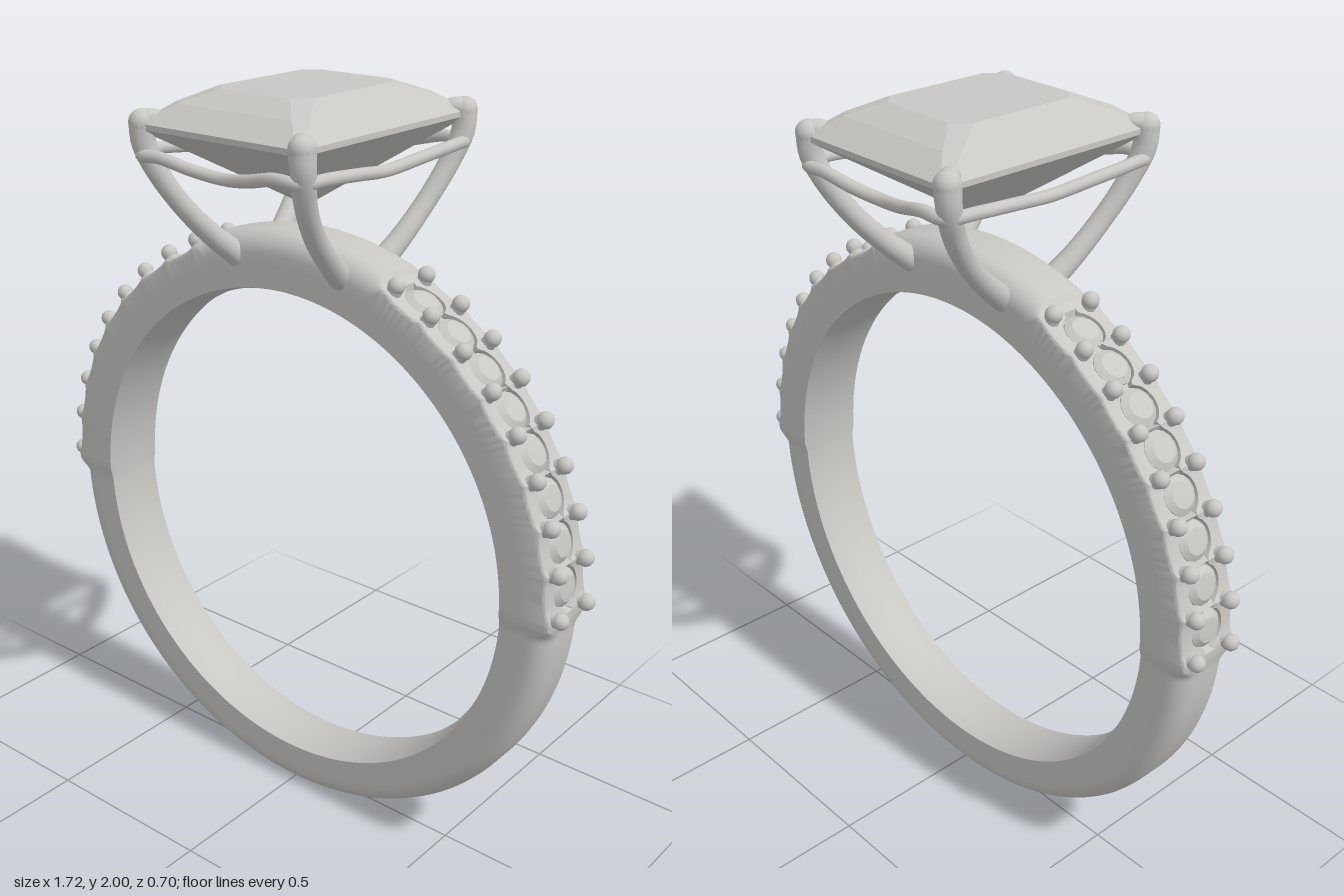
import * as THREE from 'three';
import { toCreasedNormals } from 'three/addons/utils/BufferGeometryUtils.js';

const CY = 0.81;                 // height of the ring's centre
const BEAD0 = 1.7, STEP = 8.1;   // shoulder bead spacing in degrees
const STONES = 8;
const rad = THREE.MathUtils.degToRad;
const smooth = THREE.MathUtils.smoothstep;
const lerp = THREE.MathUtils.lerp;

// Shoulder rail radius, slightly fuller towards the bottom
const railRadius = e => lerp(0.823, 0.812, smooth(e, 0, 60));

// Skin closed loops of points; wrap joins the last loop to the first
function skin(loops, wrap) {
  const n = loops[0].length, pos = loops.flat(2), idx = [];
  const count = wrap ? loops.length : loops.length - 1;
  for (let i = 0; i < count; i++) for (let j = 0; j < n; j++) {
    const i2 = (i + 1) % loops.length, j2 = (j + 1) % n;
    const a = i * n + j, b = i2 * n + j, c = i2 * n + j2, d = i * n + j2;
    idx.push(a, b, c, a, c, d);
  }
  const g = new THREE.BufferGeometry();
  g.setAttribute('position', new THREE.Float32BufferAttribute(pos, 3));
  g.setIndex(idx);
  return g;
}

// Band cross-section as [radius, z] pairs at elevation e (degrees above the middle)
function bandSection(e) {
  const shoulder = smooth(e, -3, 0.5) * (1 - smooth(e, 67.5, 70));
  const top = smooth(e, 67.5, 70);
  const w = lerp(lerp(0.08, 0.086, smooth(e, -90, 0)), 0.093, smooth(e, -3, 0.5));
  const c = lerp(lerp(0.05, 0.055, top), 0.01, shoulder);
  const plain = lerp(lerp(0.81, 0.818, smooth(e, -90, 0)), 0.83, top);
  let ro = lerp(plain, railRadius(e), shoulder);
  // round seats and scalloped rails around the small stones
  let hw = 0.02, depth = 0;
  const k = Math.floor((e - BEAD0) / STEP);
  if (k >= 0 && k < STONES) {
    const s = rad(e - BEAD0 - (k + 0.5) * STEP) * 0.81, R = 0.054;
    if (Math.abs(s) < R) {
      hw = Math.sqrt(R * R - s * s);
      depth = 0.016;
      ro -= 0.01 * hw / R;
    }
  }
  const half = [0, 0.35, 0.7, 1].map(t => [0.67 + 0.014 * t * t, w * t]).slice(1);
  half.push([0.7, w], [0.745, w]);
  for (let i = 0; i <= 6; i++) {
    const a = (1 - i / 6) * Math.PI / 2;
    half.push([ro - c + c * Math.cos(a), w - c + c * Math.sin(a)]);
  }
  hw = Math.min(hw, w - c - 0.002);
  half.push([ro, hw], [ro - depth, hw * 0.97]);
  return [...half.map(([r, z]) => [r, -z]), ...half.reverse()];
}

function bandGeometry() {
  const loops = [], N = 540;
  for (let i = 0; i < N; i++) {
    const t = i / N * Math.PI * 2, cs = Math.cos(t), sn = Math.sin(t);
    const e = THREE.MathUtils.radToDeg(Math.atan2(sn, Math.abs(cs)));
    loops.push(bandSection(e).map(([r, z]) => [r * cs, CY + r * sn, z]));
  }
  return toCreasedNormals(skin(loops, true), rad(35));
}

// Rectangle with cut corners at height y
function cutRect(x, z, c, y) {
  return [[x, z - c], [x - c, z], [c - x, z], [-x, z - c],
    [-x, c - z], [c - x, -z], [x - c, -z], [x, c - z]].map(([a, b]) => [a, y, b]);
}

// Step-cut stone: pavilion, girdle, two crown steps and the table
function centreStoneGeometry() {
  return toCreasedNormals(skin([
    cutRect(0.0005, 0.0005, 0.0001, 1.7),
    cutRect(0.258, 0.334, 0.012, 1.908),
    cutRect(0.258, 0.334, 0.012, 1.922),
    cutRect(0.207, 0.268, 0.03, 1.968),
    cutRect(0.148, 0.19, 0.04, 2.0),
    cutRect(0.0005, 0.0005, 0.0001, 2.0),
  ], false), 0.01);
}

// Tube whose thickness follows a rule along its length
function taperedTube(points, segs, radiusAt) {
  const curve = new THREE.CatmullRomCurve3(points.map(p => new THREE.Vector3(...p)));
  const g = new THREE.TubeGeometry(curve, segs, 1, 14, false);
  const p = g.attributes.position, v = new THREE.Vector3();
  for (let i = 0; i <= segs; i++) {
    const c = curve.getPointAt(i / segs), r = radiusAt(i / segs);
    for (let j = 0; j <= 14; j++) {
      const k = i * 15 + j;
      v.fromBufferAttribute(p, k).sub(c).multiplyScalar(r).add(c);
      p.setXYZ(k, v.x, v.y, v.z);
    }
  }
  return g;
}

export function createModel() {
  const model = new THREE.Group();
  model.name = 'ring';
  const silver = new THREE.MeshStandardMaterial({ color: 0xc8c7c4 });
  silver.name = 'silver grey';
  const add = (parent, geo, name, x = 0, y = 0, z = 0) => {
    const m = new THREE.Mesh(geo, silver);
    m.name = name;
    m.position.set(x, y, z);
    parent.add(m);
    return m;
  };

  add(model, bandGeometry(), 'band');
  add(model, centreStoneGeometry(), 'centreStone');

  // Small stones and beads along both shoulders
  const gem = toCreasedNormals(new THREE.LatheGeometry([
    [0, -0.02], [0.05, -0.006], [0.05, 0], [0.034, 0.012], [0, 0.014],
  ].map(p => new THREE.Vector2(...p)), 14), 0.3);
  const beadGeo = new THREE.SphereGeometry(0.022, 14, 10);
  const stemGeo = new THREE.CylinderGeometry(0.019, 0.021, 0.05, 12);
  for (const side of [1, -1]) {
    const shoulder = new THREE.Group();
    shoulder.name = side > 0 ? 'leftShoulder' : 'rightShoulder';
    model.add(shoulder);
    const place = (geo, name, deg, lift, z) => {
      const a = rad(deg), r = railRadius(deg) + lift;
      const m = add(shoulder, geo, name, side * r * Math.cos(a), CY + r * Math.sin(a), z);
      m.rotation.z = side * (a - Math.PI / 2);
    };
    for (let i = 0; i <= STONES; i++) {
      const deg = BEAD0 + i * STEP;
      if (i < STONES) place(gem, 'smallStone', deg + STEP / 2, -0.014, 0);
      for (const z of [-0.062, 0.062]) {
        place(beadGeo, 'bead', deg, 0.014, z);
        place(stemGeo, 'beadStem', deg, -0.012, z);
      }
    }
  }

  // Four claws holding the centre stone
  for (const sx of [1, -1]) for (const sz of [1, -1]) {
    const claw = new THREE.Group();
    claw.name = 'claw';
    model.add(claw);
    const path = [[0.17, 1.555, 0.07], [0.188, 1.62, 0.147], [0.207, 1.7, 0.223],
      [0.231, 1.79, 0.283], [0.25, 1.87, 0.314], [0.25, 1.925, 0.318]]
      .map(([x, y, z]) => [x * sx, y, z * sz]);
    add(claw, taperedTube(path, 32, t => 0.027 + 0.006 * Math.pow(2 * t - 1, 2)), 'clawWire');
    add(claw, new THREE.SphereGeometry(0.033, 16, 12), 'clawEnd', sx * 0.25, 1.922, sz * 0.318);
    const tip = add(claw, new THREE.SphereGeometry(0.03, 16, 12), 'clawTip',
      sx * 0.238, 1.932, sz * 0.303);
    tip.scale.set(0.85, 0.75, 1.35);
    tip.rotation.y = sx * sz * 0.6;
    add(claw, new THREE.SphereGeometry(0.028, 12, 8), 'clawFoot', sx * 0.17, 1.555, sz * 0.075);
  }

  // Gallery wire looping round the claws below the stone
  const quarter = [[0, 1.816, 0.3], [0.09, 1.828, 0.316], [0.18, 1.847, 0.33],
    [0.25, 1.845, 0.325], [0.27, 1.847, 0.25], [0.262, 1.835, 0.12], [0.248, 1.822, 0]];
  const quad = (sx, sz) => quarter.map(([x, y, z]) => new THREE.Vector3(x * sx, y, z * sz));
  const loop = [
    ...quad(1, 1).slice(0, -1), ...quad(1, -1).reverse().slice(0, -1),
    ...quad(-1, -1).slice(0, -1), ...quad(-1, 1).reverse().slice(0, -1),
  ];
  add(model, new THREE.TubeGeometry(new THREE.CatmullRomCurve3(loop, true), 140, 0.016, 10, true),
    'galleryWire');

  return model;
}
